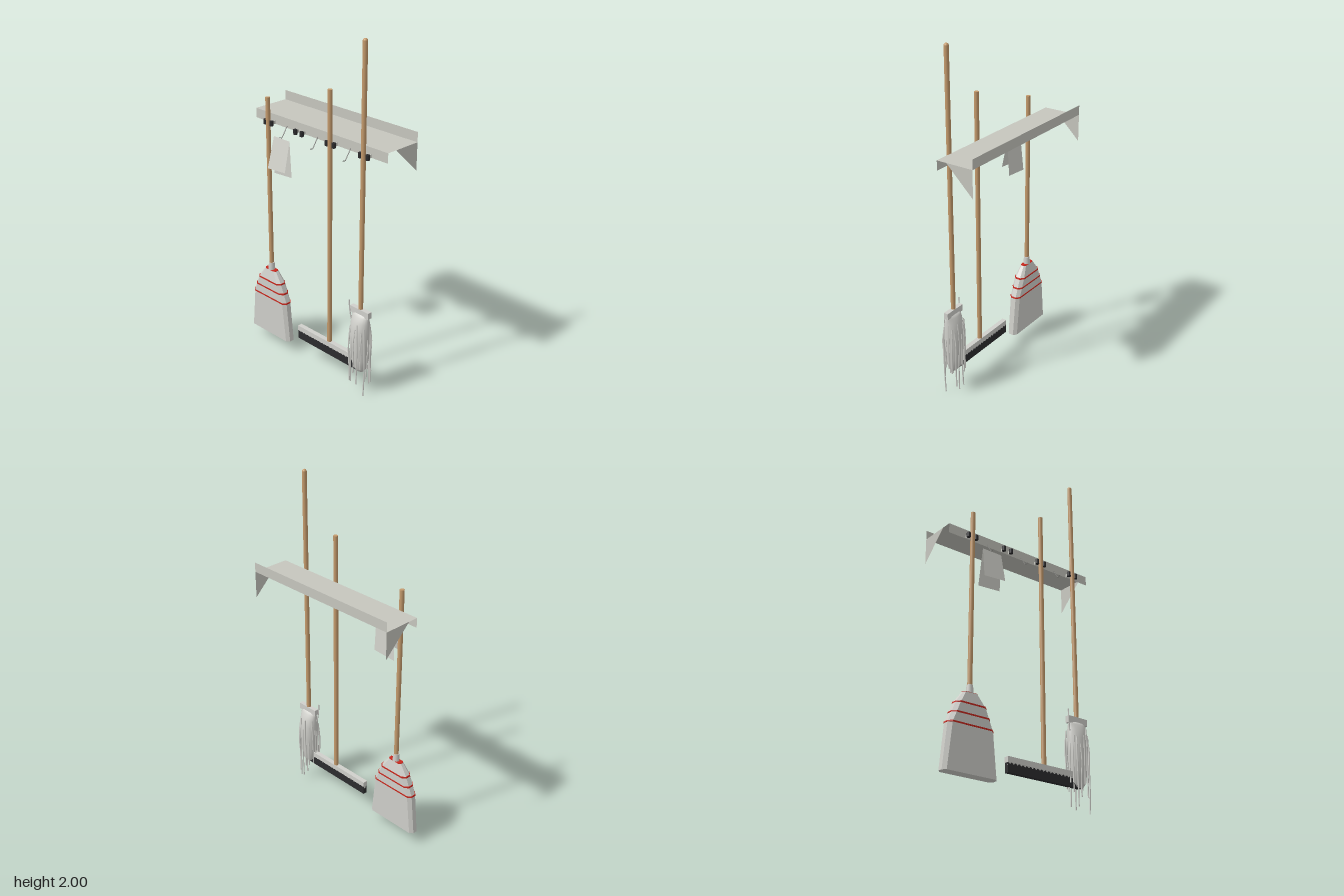
import * as THREE from 'three';

const mat = (name, color, side = THREE.FrontSide) => {
  const m = new THREE.MeshStandardMaterial({ color, side });
  m.name = name;
  return m;
};
const Z = 0.095; // plane in which the tools hang

// Closed body through rings of equal point count, listed bottom to top.
function loft(rings, smooth) {
  const n = rings[0].length, pos = [], idx = [];
  rings.forEach((r) => r.forEach((p) => pos.push(...p)));
  for (let j = 0; j < rings.length - 1; j++) {
    for (let i = 0; i < n; i++) {
      const k = (i + 1) % n, a = j * n + i, b = j * n + k;
      idx.push(a, b, b + n, a, b + n, a + n);
    }
  }
  const top = (rings.length - 1) * n;
  for (let i = 1; i < n - 1; i++) idx.push(0, i + 1, i, top, top + i, top + i + 1);
  let g = new THREE.BufferGeometry();
  g.setAttribute('position', new THREE.Float32BufferAttribute(pos, 3));
  g.setIndex(idx);
  if (!smooth) g = g.toNonIndexed();
  g.computeVertexNormals();
  return g;
}

// Rectangle with cut corners, counter-clockwise from above.
function cutRing(y, w, d) {
  const c = Math.min(0.022, d * 0.6), e = d * 0.45;
  return [[w, e], [w - c, d], [-w + c, d], [-w, e], [-w, -e], [-w + c, -d], [w - c, -d], [w, -e]]
    .map(([x, z]) => [x, y, -z]);
}

function ellipseRing(y, rx, rz, n = 20) {
  return Array.from({ length: n }, (_, i) => {
    const a = (i / n) * Math.PI * 2;
    return [Math.cos(a) * rx, y, -Math.sin(a) * rz];
  });
}

// Flat four-cornered sheet.
function sheet(a, b, c, d) {
  const g = new THREE.BufferGeometry();
  g.setAttribute('position', new THREE.Float32BufferAttribute([a, b, c, a, c, d].flat(), 3));
  g.computeVertexNormals();
  return g;
}

export function createModel() {
  const root = new THREE.Group();
  root.name = 'toolRack';
  const metal = mat('shelfGrey', 0xc6c6be, THREE.DoubleSide);
  const cloth = mat('clothGrey', 0xd2d2cb, THREE.DoubleSide);
  const fibre = mat('fibreGrey', 0xd0d0cb);
  const wood = mat('wood', 0xc49a6c);
  const black = mat('black', 0x2c2c2e);
  const red = mat('red', 0xc8281e);
  const wire = mat('wireGrey', 0x8c8c88);

  const add = (parent, name, geo, material, x = 0, y = 0, z = 0) => {
    const m = new THREE.Mesh(geo, material);
    m.name = name;
    m.position.set(x, y, z);
    parent.add(m);
    return m;
  };
  const group = (name, x = 0, z = 0) => {
    const g = new THREE.Group();
    g.name = name;
    g.position.set(x, 0, z);
    root.add(g);
    return g;
  };
  const handle = (g, y0, y1, r = 0.013) =>
    add(g, 'handle', new THREE.CylinderGeometry(r, r, y1 - y0, 16), wood, 0, (y0 + y1) / 2);

  // Shelf: bent sheet with a raised back, a drop lip and two end brackets
  const shelf = group('shelf');
  const L = -0.48, R = 0.505, B = -0.156, F = 0.064, Y = 1.445;
  const fold = [[1.5, B], [Y, B], [Y, F], [1.39, F]];
  ['backFlange', 'shelfTop', 'frontLip'].forEach((name, i) => {
    const [[y0, z0], [y1, z1]] = [fold[i], fold[i + 1]];
    add(shelf, name, sheet([L, y0, z0], [L, y1, z1], [R, y1, z1], [R, y0, z0]), metal);
  });
  for (const x of [L, R]) {
    const g = new THREE.BufferGeometry();
    g.setAttribute('position', new THREE.Float32BufferAttribute([x, Y, B, x, 1.29, B, x, Y, 0.005], 3));
    g.computeVertexNormals();
    add(shelf, 'endBracket', g, metal);
  }

  // Spring clips with a pair of rollers
  for (const x of [-0.347, -0.107, 0.132, 0.37]) {
    const clip = group('clip', x);
    add(clip, 'clipPlate', new THREE.BoxGeometry(0.05, 0.018, 0.002), metal, 0, 1.4, 0.067);
    for (const s of [-1, 1]) {
      add(clip, 'clipArm', new THREE.BoxGeometry(0.002, 0.018, 0.026), metal, s * 0.024, 1.4, 0.078);
      add(clip, 'roller', new THREE.CylinderGeometry(0.011, 0.011, 0.028, 14), black, s * 0.025, 1.4, 0.093);
    }
  }

  // Wire hooks
  for (const x of [-0.227, 0.011, 0.25]) {
    const path = new THREE.CurvePath();
    const p = [[1.402, 0.064], [1.343, 0.104], [1.35, 0.122]].map(([y, z]) => new THREE.Vector3(x, y, z));
    path.add(new THREE.LineCurve3(p[0], p[1]));
    path.add(new THREE.LineCurve3(p[1], p[2]));
    add(root, 'hook', new THREE.TubeGeometry(path, 16, 0.0025, 6), wire);
  }

  // Folded cloth hanging from the first hook
  const towel = group('cloth');
  add(towel, 'clothFront', sheet([-0.287, 1.34, 0.108], [-0.302, 1.157, 0.145],
    [-0.163, 1.167, 0.145], [-0.163, 1.34, 0.108]), cloth);
  add(towel, 'clothBack', sheet([-0.287, 1.34, 0.108], [-0.305, 1.115, 0.096],
    [-0.163, 1.125, 0.096], [-0.163, 1.34, 0.108]), cloth);

  // Corn broom: flared head, red stitching, ferrule
  const broom = group('broom', -0.347, Z);
  handle(broom, 0.5, 1.545);
  const levels = [[0.075, 0.163, 0.03], [0.32, 0.138, 0.032], [0.43, 0.093, 0.032], [0.495, 0.045, 0.018]];
  add(broom, 'broomHead', loft(levels.map((l) => cutRing(...l))), fibre);
  for (const [y, w] of [[0.32, 0.138], [0.375, 0.116], [0.43, 0.093]]) {
    add(broom, 'stitching', loft([cutRing(y - 0.004, w + 0.003, 0.034), cutRing(y + 0.004, w + 0.001, 0.034)]), red);
  }
  add(broom, 'headCap', loft([cutRing(0.494, 0.045, 0.018), cutRing(0.497, 0.045, 0.018)]), red);
  add(broom, 'ferrule', new THREE.CylinderGeometry(0.017, 0.02, 0.045, 16), fibre, 0, 0.518);

  // Push broom: wide block with a saw-edged row of bristles
  const push = group('pushBroom', 0.132, Z);
  handle(push, 0.2, 1.695);
  add(push, 'block', new THREE.BoxGeometry(0.49, 0.03, 0.028), fibre, 0, 0.202);
  add(push, 'blockCore', new THREE.BoxGeometry(0.488, 0.02, 0.018), fibre, 0, 0.182);
  const saw = new THREE.Shape();
  saw.moveTo(-0.244, 0.134);
  saw.lineTo(0.244, 0.134);
  const teeth = 40;
  for (let i = 0; i <= teeth; i++) saw.lineTo(0.244 - (0.488 * i) / teeth, i % 2 ? 0.178 : 0.188);
  add(push, 'bristles', new THREE.ExtrudeGeometry(saw, { depth: 0.024, bevelEnabled: false }), black, 0, 0, -0.012);

  // Mop: clamp, soft bundle and loose strands
  const mop = group('mop', 0.368, Z);
  handle(mop, 0.5, 1.987);
  add(mop, 'handleTip', new THREE.SphereGeometry(0.013, 16, 8, 0, Math.PI * 2, 0, Math.PI / 2), wood, 0, 1.987);
  add(mop, 'clamp', new THREE.BoxGeometry(0.132, 0.038, 0.026), fibre, 0, 0.506);
  const bundle = [[0.135, 0.025, 0.014], [0.16, 0.042, 0.034], [0.22, 0.053, 0.046], [0.32, 0.06, 0.054],
    [0.4, 0.062, 0.051], [0.45, 0.06, 0.04], [0.48, 0.059, 0.024], [0.495, 0.058, 0.015]];
  add(mop, 'mopBundle', loft(bundle.map((l) => ellipseRing(...l)), true), fibre);

  let seed = 7;
  const rnd = () => (seed = (seed * 16807) % 2147483647) / 2147483647;
  const strand = (pts) => add(mop, 'strand', new THREE.TubeGeometry(
    new THREE.CatmullRomCurve3(pts.map((p) => new THREE.Vector3(...p))), 10, 0.0038, 6), fibre);
  const count = 18;
  for (let i = 0; i < count; i++) {
    const a = (i / count) * Math.PI * 2 + 0.15;
    const c = Math.cos(a), s = Math.sin(a);
    const y0 = 0.36 + rnd() * 0.1, y1 = i === 1 ? 0.002 : 0.01 + rnd() * 0.18;
    const at = (y, k) => [c * 0.064 * k + (rnd() - 0.5) * 0.008, y, s * 0.054 * k + (rnd() - 0.5) * 0.006];
    strand([at(y0, 0.92), at(y0 * 0.65 + y1 * 0.35, 1.04), at(y0 * 0.35 + y1 * 0.65, 1), at(y1, 0.98)]);
  }
  strand([[-0.06, 0.44, 0.01], [-0.068, 0.5, 0.014], [-0.071, 0.56, 0.016]]);

  return root;
}
